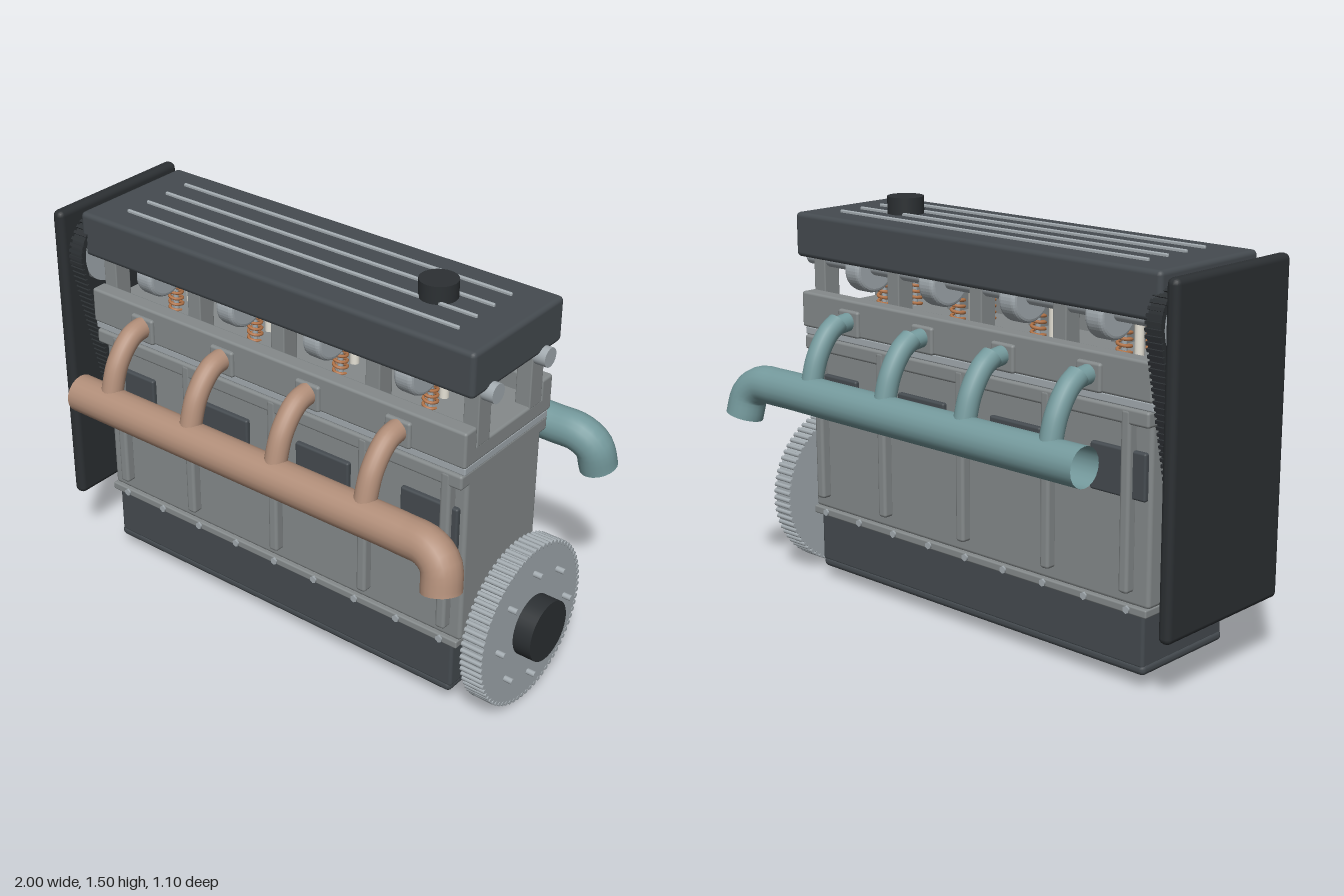
import * as THREE from 'three';
import { RoundedBoxGeometry } from 'three/addons/geometries/RoundedBoxGeometry.js';
import { mergeGeometries } from 'three/addons/utils/BufferGeometryUtils.js';

const V = (x, y, z) => new THREE.Vector3(x, y, z);
const paint = (color, side = THREE.FrontSide) => {
  const m = new THREE.MeshStandardMaterial({ color });
  m.side = side;
  return m;
};

export function createModel() {
  const engine = new THREE.Group();
  engine.name = 'engine';
  const dark = paint(0x454b50), black = paint(0x2c3033), iron = paint(0x858a8b);
  const steel = paint(0xa3abb0), copper = paint(0xb5764a), white = paint(0xe6e2d6);
  const brownPipe = paint(0xb08d78, THREE.DoubleSide), tealPipe = paint(0x74999c, THREE.DoubleSide);

  const add = (name, geometry, material, parent = engine) => {
    const mesh = new THREE.Mesh(geometry, material);
    mesh.name = name;
    parent.add(mesh);
    return mesh;
  };
  // Box given by its extents on each axis, with a small rounded edge
  const box = (name, [x0, x1], [y0, y1], [z0, z1], material, r = 0.01) => {
    const g = new RoundedBoxGeometry(x1 - x0, y1 - y0, z1 - z0, 2, r);
    return add(name, g.translate((x0 + x1) / 2, (y0 + y1) / 2, (z0 + z1) / 2), material);
  };
  // Cylinder lying along x
  const rodGeometry = (x0, x1, y, z, r, seg = 24) =>
    new THREE.CylinderGeometry(r, r, x1 - x0, seg).rotateZ(-Math.PI / 2).translate((x0 + x1) / 2, y, z);
  const rod = (name, x0, x1, y, z, r, material, seg = 32) =>
    add(name, rodGeometry(x0, x1, y, z, r, seg), material);
  const tube = (name, points, r, material, seg = 24) =>
    add(name, new THREE.TubeGeometry(new THREE.CatmullRomCurve3(points), seg, r, 20), material);
  // Shape drawn as (z, y), extruded along -x from a given x
  const extrudeX = (shape, x, depth, bevel = 0) => new THREE.ExtrudeGeometry(shape, {
    depth: depth - 2 * bevel, bevelEnabled: bevel > 0, bevelSize: bevel, bevelThickness: bevel,
    bevelSegments: 3, curveSegments: 24,
  }).rotateY(-Math.PI / 2).translate(x - bevel, 0, 0);

  const cylinders = [-0.615, -0.235, 0.15, 0.53];
  const crankY = 0.32, camY = 1.27, camZ = 0.152;

  // Block, oil pan and gaskets
  box('engineBlock', [-0.85, 0.785], [0.3, 0.98], [-0.22, 0.22], iron, 0.015);
  box('blockDeck', [-0.86, 0.785], [0.93, 0.985], [-0.255, 0.255], iron);
  box('panGasket', [-0.85, 0.78], [0.275, 0.305], [-0.235, 0.235], iron, 0.006);
  box('oilPan', [-0.83, 0.755], [0.085, 0.28], [-0.22, 0.22], dark, 0.012);
  box('oilPanLip', [-0.835, 0.752], [0.06, 0.1], [-0.222, 0.222], dark, 0.018);
  box('headGasket', [-0.87, 0.79], [0.985, 1.015], [-0.245, 0.245], steel, 0.005);

  // Open-ended tray of the cylinder head
  box('headFloor', [-0.87, 0.795], [1.015, 1.08], [-0.25, 0.25], iron);
  for (const s of [-1, 1]) {
    box('headWall', [-0.87, 0.795], [1.015, 1.15], s > 0 ? [0.19, 0.255] : [-0.255, -0.19], iron);
    const span = (a, b) => (s > 0 ? [a, b] : [-b, -a]);
    // Ribs, side plates and pan bolts
    for (const x of [-0.765, -0.42, -0.02, 0.38, 0.72])
      box('blockRib', [x - 0.02, x + 0.02], [0.35, 0.98], span(0.21, 0.257), iron, 0.012);
    for (const x of [-0.72, -0.265, 0.19, 0.645])
      box('sidePlate', [x - 0.117, x + 0.117], [0.675, 0.84], span(0.21, 0.237), dark, 0.008);
    for (let i = 0; i < 9; i++) {
      const bolt = add('panBolt', new THREE.CylinderGeometry(0.014, 0.014, 0.02, 6), steel);
      bolt.position.set(-0.77 + i * 0.185, 0.29, s * 0.232);
      bolt.rotation.x = Math.PI / 2;
    }

    // Camshaft with bearing posts
    rod('camshaft', -0.93, 0.84, camY, s * camZ, 0.035, steel);
    for (const x of [-0.837, -0.425, -0.04, 0.37, 0.765])
      box('camBearing', [x - 0.03, x + 0.03], [1.07, 1.275], span(0.117, 0.19), iron, 0.005);

    // Lobes, valve springs and ports of each cylinder
    const egg = new THREE.Shape();
    egg.absellipse(s * camZ, camY - 0.012, 0.08, 0.073, 0, Math.PI * 2);
    for (const x of cylinders) {
      add('camLobe', extrudeX(egg, x + 0.038, 0.076, 0.015), steel);
      const coil = [];
      for (let i = 0; i <= 60; i++) {
        const a = (i / 60) * Math.PI * 10;
        coil.push(V(x + 0.024 * Math.cos(a), 1.08 + 0.0019 * i, s * 0.08 + 0.024 * Math.sin(a)));
      }
      add('valveSpring', new THREE.TubeGeometry(new THREE.CatmullRomCurve3(coil), 100, 0.006, 6), copper);
      const stem = add('valveStem', new THREE.CylinderGeometry(0.01, 0.01, 0.16, 12), steel);
      stem.position.set(x, 1.14, s * 0.08);
      box('portFlange', [x - 0.053, x + 0.053], [1.015, 1.115], span(0.24, 0.268), iron);
    }
  }
  for (const x of cylinders) {
    const plug = add('sparkPlug', new THREE.CylinderGeometry(0.017, 0.017, 0.13, 16), white);
    plug.position.set(x, 1.135, 0);
  }

  // Valve cover with top strips and filler cap
  box('valveCover', [-0.9, 0.815], [1.28, 1.447], [-0.26, 0.26], dark, 0.018);
  for (const z of [-0.15, -0.05, 0.05, 0.15])
    box('coverStrip', [-0.765, 0.68], [1.435, 1.457], [z - 0.006, z + 0.006], steel, 0.004);
  add('fillerCap', new THREE.CylinderGeometry(0.068, 0.068, 0.07, 32), black).position.set(0.492, 1.476, 0);

  // Timing cover, pulleys and toothed belt
  box('timingCover', [-1, -0.95], [0.24, 1.442], [-0.307, 0.307], black, 0.022);
  const loop = (Type, inset) => {
    const p = new Type(), t = 0.216, r = 0.143 - inset;
    p.absarc(0, 0.33, 0.088 - inset, Math.PI + t, Math.PI * 2 - t, false);
    p.absarc(0.15, camY, r, -t, Math.PI / 2, false);
    p.absarc(-0.15, camY, r, Math.PI / 2, Math.PI + t, false);
    p.closePath();
    return p;
  };
  const belt = loop(THREE.Shape, 0);
  const path = belt.getSpacedPoints(130);
  belt.holes.push(loop(THREE.Path, 0.02));
  add('timingBelt', extrudeX(belt, -0.872, 0.056), black);
  const teeth = [];
  for (let i = 0; i < path.length - 1; i++) {
    const a = path[i], b = path[i + 1];
    teeth.push(new THREE.BoxGeometry(0.064, 0.012, 0.012)
      .rotateX(-Math.atan2(b.y - a.y, b.x - a.x)).translate(-0.9, a.y, a.x));
  }
  add('beltTeeth', mergeGeometries(teeth), black);
  rod('crankPulley', -0.925, -0.875, 0.33, 0, 0.068, steel);
  for (const s of [-1, 1]) rod('camPulley', -0.925, -0.875, camY, s * 0.15, 0.122, steel, 40);

  // Crankshaft and flywheel
  rod('crankshaft', -0.95, 0.86, crankY, 0, 0.05, steel);
  rod('flywheel', 0.847, 0.93, crankY, 0, 0.3, steel, 64);
  const cogs = [];
  for (let i = 0; i < 72; i++) {
    const a = (i / 72) * Math.PI * 2;
    cogs.push(rodGeometry(0.845, 0.932, crankY + 0.301 * Math.sin(a), 0.301 * Math.cos(a), 0.009, 8));
  }
  add('flywheelTeeth', mergeGeometries(cogs), steel);
  for (let i = 0; i < 8; i++) {
    const a = (i / 8) * Math.PI * 2;
    rod('flywheelBolt', 0.925, 0.963, crankY + 0.21 * Math.sin(a), 0.21 * Math.cos(a), 0.011, steel, 12);
  }
  rod('flywheelHub', 0.92, 1, crankY - 0.002, 0, 0.114, black, 40);

  // Manifolds: a log with a turned-down outlet, fed by four runners
  const manifold = (name, s, z, material) => {
    const log = [[-0.765, 0.83, z], [-0.2, 0.83, z], [0.4, 0.83, z], [0.7, 0.83, z],
      [0.8, 0.825, z + 0.004], [0.855, 0.785, z + 0.015], [0.872, 0.7, z + 0.032]];
    tube(name + 'Log', log.map(([x, y, d]) => V(x, y, s * d)), 0.07, material, 80);
    for (const x of cylinders) {
      const run = (points, r, label) =>
        tube(name + label, points.map(([y, d]) => V(x, y, s * d)), r, material);
      if (s > 0) run([[1.075, 0.25], [1.062, 0.32], [0.985, 0.395], [0.85, z]], 0.04, 'Runner');
      else {
        run([[1.075, 0.25], [1.065, 0.335]], 0.034, 'Stub');
        run([[1.078, 0.315], [1.045, 0.365], [0.965, 0.42], [0.85, z]], 0.04, 'Runner');
      }
    }
  };
  manifold('exhaust', 1, 0.443, brownPipe);
  manifold('intake', -1, 0.455, tealPipe);

  return engine;
}
